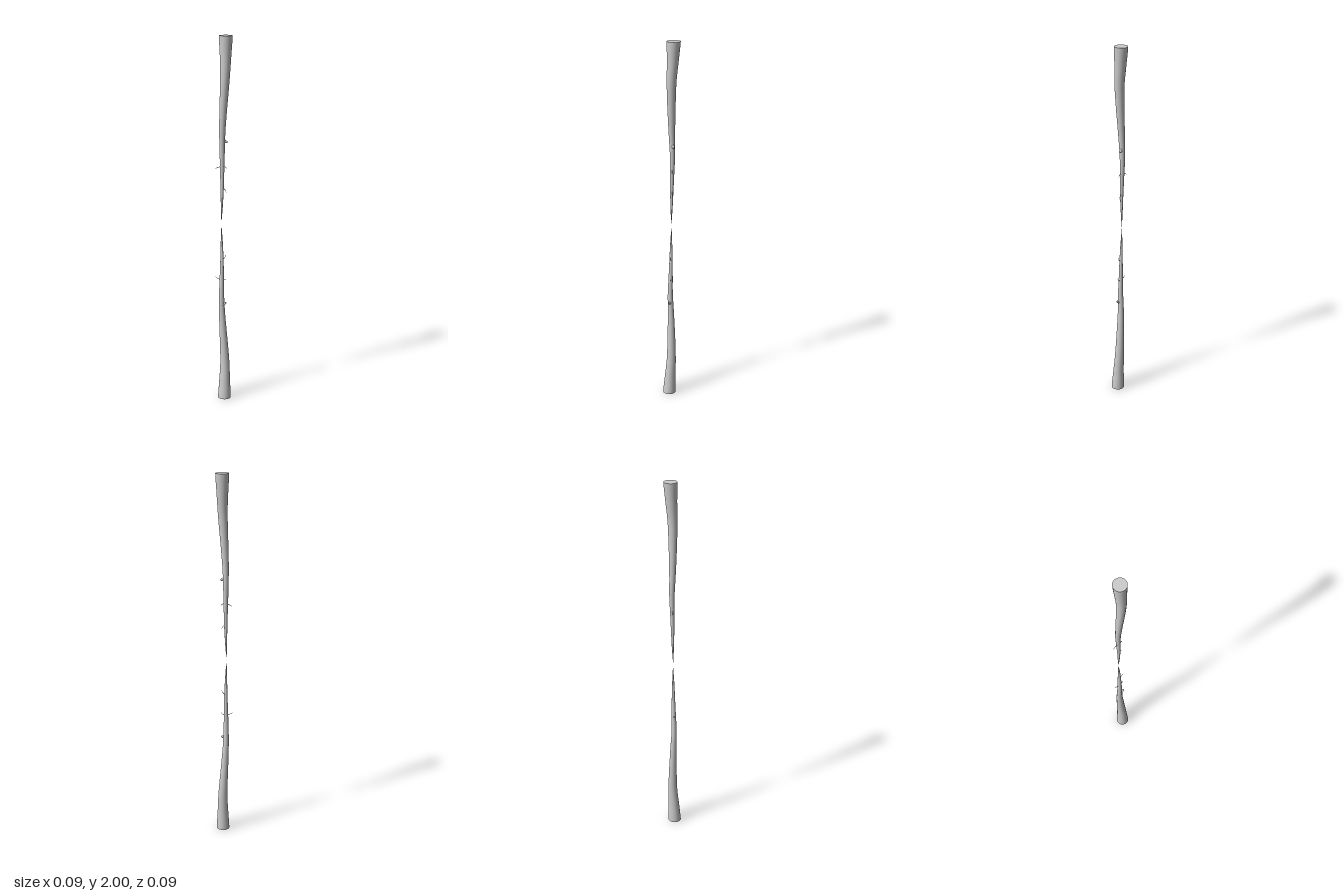
import * as THREE from 'three';
import { mergeVertices } from 'three/addons/utils/BufferGeometryUtils.js';

const material = new THREE.MeshStandardMaterial({ color: 0xcccccc, side: THREE.DoubleSide });

// Round, tapering limb that follows a curve of sections [x, y, z, radius], from base to tip
function taperedLimb(name, sections, sides, steps) {
  const path = new THREE.CatmullRomCurve3(sections.map(([x, y, z]) => new THREE.Vector3(x, y, z)));
  const radii = new THREE.SplineCurve(sections.map((s, i) => new THREE.Vector2(i, s[3])));
  let geometry = new THREE.CylinderGeometry(1, 1, 1, sides, steps);
  geometry.deleteAttribute('uv');
  geometry = mergeVertices(geometry);
  const position = geometry.attributes.position;
  const start = sections[0], end = sections[sections.length - 1];
  const axis = new THREE.Vector3(end[0] - start[0], end[1] - start[1], end[2] - start[2]).normalize();
  const turn = new THREE.Quaternion().setFromUnitVectors(new THREE.Vector3(0, 1, 0), axis);
  // The trunk keeps level rings so that its base is flat
  if (axis.y > 0.99) turn.identity();
  const v = new THREE.Vector3();
  for (let i = 0; i < position.count; i++) {
    v.fromBufferAttribute(position, i);
    const t = THREE.MathUtils.clamp(v.y + 0.5, 0, 1);
    const r = Math.max(radii.getPoint(t).y, 0.0003);
    v.set(v.x * r, 0, v.z * r).applyQuaternion(turn).add(path.getPoint(t));
    position.setXYZ(i, v.x, v.y, v.z);
  }
  geometry.computeVertexNormals();
  const mesh = new THREE.Mesh(geometry, material);
  mesh.name = name;
  return mesh;
}

// One bare root: thick flat base, wavering taper, a stub and fine rootlets
function createRoot(name) {
  const root = new THREE.Group();
  root.name = name;
  root.add(
    taperedLimb('trunk', [
      [0.0085, 0, 0.0115, 0.0355],
      [0.0085, 0.1, 0.007, 0.03],
      [0.008, 0.2, 0.001, 0.0255],
      [0.003, 0.3, 0, 0.0225],
      [-0.003, 0.4, 0.001, 0.0195],
      [-0.008, 0.5, 0.003, 0.0165],
      [-0.0095, 0.6, 0.006, 0.014],
      [-0.009, 0.7, 0.004, 0.0115],
      [-0.0085, 0.8, 0.002, 0.009],
      [-0.01, 0.9, 0.001, 0.0055],
      [-0.0115, 0.96, 0, 0.0025],
      [-0.012, 0.995, 0, 0.0003],
    ], 28, 72),
    taperedLimb('stub', [
      [-0.004, 0.542, 0.007, 0.008],
      [0.006, 0.55, 0.009, 0.006],
      [0.012, 0.555, 0.01, 0.007],
      [0.018, 0.557, 0.01, 0.004],
    ], 10, 8),
    taperedLimb('longRootlet', [
      [-0.012, 0.682, 0.004, 0.003],
      [-0.025, 0.69, 0.004, 0.0018],
      [-0.036, 0.693, 0.004, 0.0014],
      [-0.046, 0.701, 0.0035, 0.0006],
    ], 8, 8),
    taperedLimb('shortRootlet', [
      [-0.006, 0.68, 0.003, 0.003],
      [0.004, 0.686, 0.003, 0.002],
      [0.012, 0.69, 0.004, 0.0015],
      [0.018, 0.697, 0.004, 0.0006],
    ], 8, 8),
    taperedLimb('upperRootlet', [
      [-0.007, 0.797, 0.002, 0.003],
      [0.001, 0.806, 0.003, 0.002],
      [0.008, 0.813, 0.004, 0.0014],
      [0.014, 0.827, 0.004, 0.0006],
    ], 8, 8),
  );
  return root;
}

export function createModel() {
  const model = new THREE.Group();
  model.name = 'facingRoots';
  // The second root is the first turned over, so that both tips meet halfway
  const hanging = createRoot('hangingRoot');
  hanging.rotation.x = Math.PI;
  hanging.position.y = 2;
  model.add(createRoot('standingRoot'), hanging);
  return model;
}
